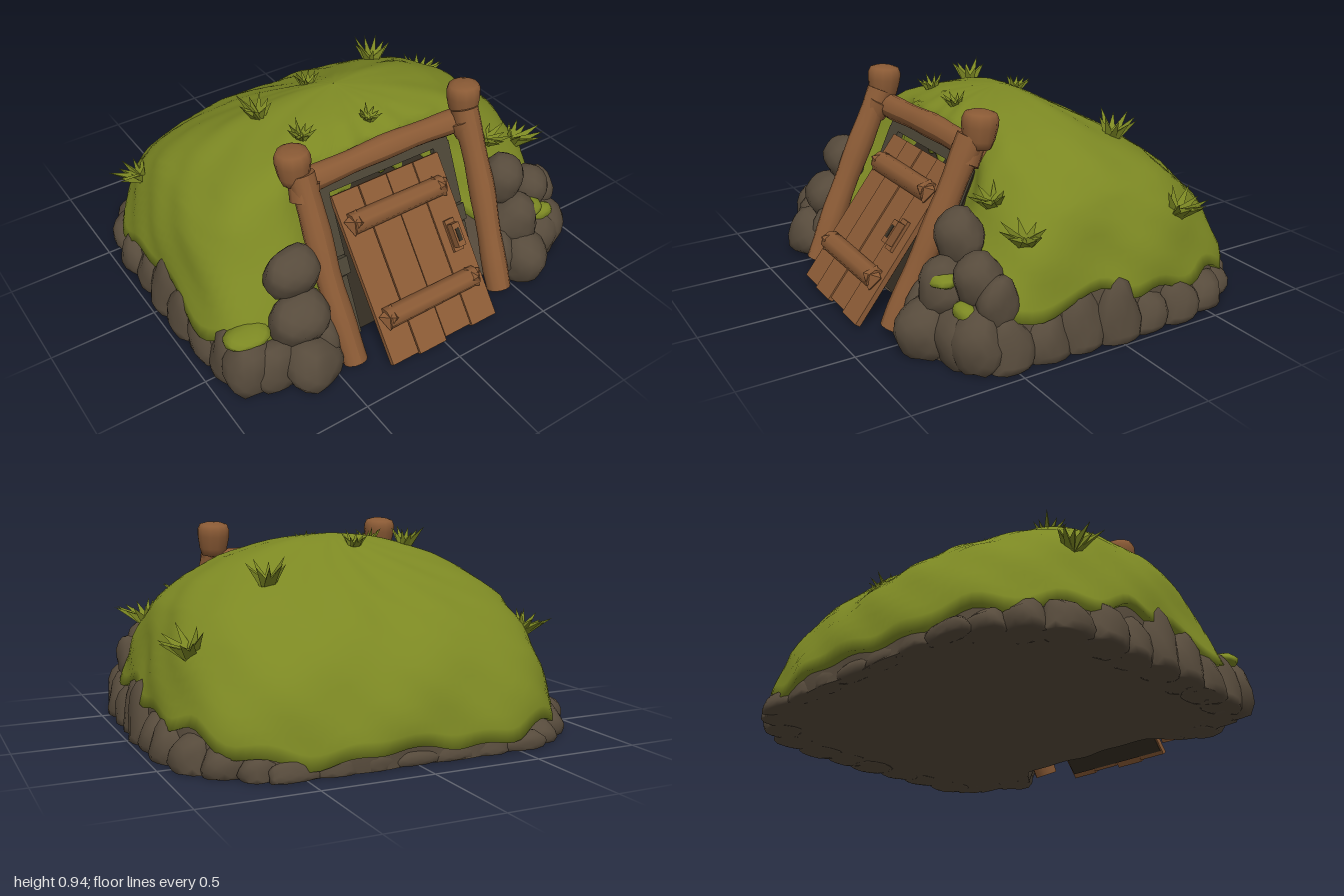
import * as THREE from 'three';
import { mergeVertices, mergeGeometries } from 'three/addons/utils/BufferGeometryUtils.js';

const material = (name, color, side = THREE.FrontSide) => {
  const m = new THREE.MeshStandardMaterial({ color, side });
  m.name = name;
  return m;
};

// Seeded random numbers
let seed = 7;
const rnd = (a = 0, b = 1) => {
  seed = (seed * 16807) % 2147483647;
  return a + (b - a) * seed / 2147483647;
};
const smooth = THREE.MathUtils.smoothstep;

// Mound half-widths by height: [y, side, back, front]
const LEVELS = [
  [0, .935, .88, .62], [.1, .935, .88, .575], [.2, .92, .86, .53], [.3, .9, .82, .485],
  [.4, .875, .765, .44], [.5, .84, .68, .395], [.6, .785, .56, .36], [.7, .67, .4, .335],
  [.8, .48, .215, .31], [.86, .29, .11, .22], [.885, .17, .06, .12], [.9, .002, .002, .002],
];
function levelAt(y) {
  let i = 0;
  while (i < LEVELS.length - 2 && y > LEVELS[i + 1][0]) i++;
  const a = LEVELS[i], b = LEVELS[i + 1];
  const t = THREE.MathUtils.clamp((y - a[0]) / (b[0] - a[0]), 0, 1);
  return [1, 2, 3].map(k => a[k] + (b[k] - a[k]) * t);
}

// Point on the mound at an angle and height; front corners bulge beside the doorway
function moundPoint(a, y, grow = 0) {
  const [hx, zb, zf] = levelAt(y), c = Math.cos(a), s = Math.sin(a);
  const n = s > 0 ? 5 - y * 2.4 : 3.5 - y * 1.3;
  let r = (Math.abs(c / hx) ** n + Math.abs(s / (s > 0 ? zf : zb)) ** n) ** (-1 / n);
  r += (grow + .008 * Math.sin(a * 9 + y * 11) + .006 * Math.sin(a * 17 - y * 23)) * Math.min(1, r * 2.5);
  const x = c * r;
  const bulge = s > 0 ? .15 * (1 - y * .85) * smooth(Math.abs(x), .36, .54) * smooth(s, 0, .36) : 0;
  return [x, y, s * r + bulge];
}

// Closed rings joined into a smooth skin
function loft(rows, cols, point) {
  const pos = [], idx = [];
  for (let j = 0; j < rows; j++)
    for (let i = 0; i < cols; i++) pos.push(...point(i / cols * Math.PI * 2, j / (rows - 1), j));
  for (let j = 0; j < rows - 1; j++)
    for (let i = 0; i < cols; i++) {
      const k = (i + 1) % cols, a = j * cols + i, b = j * cols + k;
      idx.push(a, a + cols, b, b, a + cols, b + cols);
    }
  const g = new THREE.BufferGeometry();
  g.setAttribute('position', new THREE.Float32BufferAttribute(pos, 3));
  g.setIndex(idx);
  g.computeVertexNormals();
  return g;
}

// Ragged lower edge of the turf: low at the back, open around the doorway
function turfEdge(a) {
  const c = Math.cos(a), s = Math.sin(a);
  const wave = .035 * Math.sin(a * 8 + 1) + .025 * Math.sin(a * 19);
  if (s < 0) return .07 + .12 * smooth(Math.abs(c), .7, .95) + wave * (.3 + .7 * Math.abs(c));
  const door = 1 - smooth(Math.abs(c) / Math.max(s, .01), .6, .95);
  return .19 + .03 * s + wave + door * .4;
}

// Lumpy boulder, flattened where it meets the ground
function boulder(x, y, z, rx, ry, rz) {
  let g = new THREE.IcosahedronGeometry(1, 2);
  g.deleteAttribute('uv');
  g.deleteAttribute('normal');
  g = mergeVertices(g, 1e-4);
  const p = g.attributes.position, v = new THREE.Vector3(), ph = rnd(0, 6);
  for (let i = 0; i < p.count; i++) {
    v.fromBufferAttribute(p, i);
    const k = 1 + .07 * Math.sin(v.x * 4 + ph) + .07 * Math.sin(v.y * 5 + ph * 2 + v.z * 3);
    p.setXYZ(i, x + v.x * rx * k, Math.max(0, y + v.y * ry * k), z + v.z * rz * k);
  }
  g.computeVertexNormals();
  return g;
}

// Fan of pointed blades rooted where a vertical line meets the turf
function grassTuft(turf, x, z, size) {
  const ray = new THREE.Raycaster(new THREE.Vector3(x, 2, z), new THREE.Vector3(0, -1, 0));
  const { point, face } = ray.intersectObject(turf)[0];
  const up = new THREE.Vector3(0, 1, 0), blades = [];
  for (let i = 0; i < 9; i++) {
    const a = i / 9 * Math.PI * 2, h = size * rnd(.8, 1.3);
    const dir = face.normal.clone().add(new THREE.Vector3(Math.cos(a), .3, Math.sin(a))).normalize();
    const b = new THREE.ConeGeometry(size * .22, h, 3).translate(0, h * .38, 0);
    b.applyQuaternion(new THREE.Quaternion().setFromUnitVectors(up, dir));
    blades.push(b.translate(point.x + Math.cos(a) * .02, point.y, point.z + Math.sin(a) * .02));
  }
  const g = mergeGeometries(blades).toNonIndexed();
  g.computeVertexNormals();
  return g;
}

export function createModel() {
  const root = new THREE.Group();
  const grass = material('grass green', 0x7c8823, THREE.DoubleSide);
  const stone = material('stone brown', 0x574b3c);
  const jambStone = material('mossy stone', 0x4a4435);
  const dark = material('dark gap', 0x342d22);
  const wood = material('wood', 0x8a5a35);
  const add = (parent, name, geo, mat, x = 0, y = 0, z = 0) => {
    const m = new THREE.Mesh(geo, mat);
    m.name = name;
    m.position.set(x, y, z);
    parent.add(m);
    return m;
  };
  const group = (name, y, z, tilt) => {
    const g = new THREE.Group();
    g.name = name;
    g.position.set(0, y, z);
    g.rotation.x = tilt;
    root.add(g);
    return g;
  };

  // Mound: stone core, flat underside and turf with a tucked lower lip
  add(root, 'stoneCore', loft(10, 112, (a, t) => moundPoint(a, t * .62, -.012)), stone);
  add(root, 'underside', loft(2, 112, (a, t) => moundPoint(a, 0, -.012).map(v => v * t)), stone);
  const turf = add(root, 'turf', loft(26, 160, (a, t, j) => {
    const e = turfEdge(a), u = Math.max(0, j - 1) / 24;
    return moundPoint(a, e + (.9 - e) * (1 - (1 - u) ** 1.7), j === 0 ? -.03 : .02);
  }), grass);

  // Boulders: rows along the sides and back, then clusters beside the doorway
  const rocks = [];
  for (const s of [-1, 1]) {
    for (let i = 0; i < 7; i++) {
      const top = [.13, .16, .15, .25, .21, .17, .2][i];
      rocks.push(boulder(s * [.86, .89, .89, .9, .89, .885, .87][i], .03, -.52 + i * .17, .09, top, .12));
    }
    rocks.push(boulder(s * .765, .03, -.66, .09, .11, .09), boulder(s * .66, .02, -.76, .09, .08, .07));
  }
  for (let i = 0; i < 7; i++) rocks.push(boulder(-.54 + i * .18, .02, -.835, .11, .06, .045));
  const cluster = [
    [.83, .1, .61, .12, .15, .11], [.73, .09, .65, .13, .14, .1], [.6, .09, .72, .13, .14, .13],
    [.6, .27, .63, .13, .13, .12], [.58, .46, .55, .12, .12, .1], [.5, .12, .66, .08, .16, .1],
  ];
  for (const s of [-1, 1])
    for (const [x, y, z, a, b, c] of cluster) rocks.push(boulder(s * x, y, z, a, b, c));
  rocks.push(boulder(.75, .34, .56, .11, .11, .1), boulder(.84, .27, .53, .07, .12, .09));
  add(root, 'boulders', mergeGeometries(rocks), stone);

  // Turf patches lying on the boulders
  for (const [x, y, z, r] of [[.64, .33, .67, .08], [.78, .23, .64, .06], [-.82, .24, .57, .1]])
    add(root, 'turfPatch', boulder(x, y, z, r, .04, r * .8), grass);

  // Grass tufts
  const tufts = [[-.37, -.05, .11], [-.06, -.13, .07], [.45, -.32, .12], [.83, -.4, .13], [-.82, -.42, .12],
    [.6, .41, .1], [.81, .38, .12], [.02, .25, .06], [-.3, .2, .07]];
  add(root, 'grassTufts', mergeGeometries(tufts.map(t => grassTuft(turf, ...t))), grass);

  // Sloping stone doorway behind the door
  const frame = group('doorway', 0, .65, -.431);
  add(frame, 'darkOpening', new THREE.BoxGeometry(.76, .72, .05), dark, 0, .395, -.02);
  for (const s of [-1, 1]) {
    add(frame, 'lowerJamb', new THREE.BoxGeometry(.07, .28, .05), jambStone, s * .335, .175, .015);
    add(frame, 'middleJamb', new THREE.BoxGeometry(.1, .08, .06), jambStone, s * .33, .36, .015);
    add(frame, 'upperJamb', new THREE.BoxGeometry(.09, .3, .05), jambStone, s * .33, .56, .015);
  }
  add(frame, 'stoneLintel', new THREE.BoxGeometry(.74, .09, .05), jambStone, 0, .745, .015);

  // Timber posts with thick rounded heads, and the crossbeam
  const log = (r0, r1, len, bend) => {
    const g = new THREE.CylinderGeometry(r1, r0, len, 12, 10);
    const p = g.attributes.position;
    for (let i = 0; i < p.count; i++) {
      const k = 1 + .05 * Math.sin(p.getY(i) * 17 + bend);
      p.setXYZ(i, p.getX(i) * k + .006 * Math.sin(p.getY(i) * 7 + bend), p.getY(i), p.getZ(i) * k);
    }
    g.computeVertexNormals();
    return g;
  };
  const head = [[0, -.08], [.055, -.075], [.068, -.04], [.078, .02], [.078, .05], [.068, .074], [.04, .083], [0, .085]];
  for (const s of [-1, 1]) {
    const post = add(root, 'post', log(.057, .06, .88, s), wood, s * .43, .43, .597);
    post.rotation.set(-.443, 0, s * -.03);
    const cap = add(root, 'postHead', new THREE.LatheGeometry(head.map(p => new THREE.Vector2(...p)), 12),
      wood, s * .455, .855, .378);
    cap.rotation.x = -.1;
    const collar = add(root, 'postCollar', new THREE.CylinderGeometry(.07, .064, .08, 9), wood, s * .435, .745, .432);
    collar.rotation.set(-.443, 0, s * .25);
  }
  add(root, 'crossbeam', log(.056, .056, .84, 2), wood, 0, .755, .375).rotation.z = Math.PI / 2;

  // Leaning plank door with battens, pegs and handle
  const door = group('door', 0, .88, -.665);
  add(door, 'doorBacking', new THREE.BoxGeometry(.56, .74, .012), dark, 0, .4, .006);
  for (let i = 0; i < 4; i++) {
    const w = [.138, .146, .142, .14][i], x = [-.219, -.073, .076, .2205][i], low = [.01, .0, .015, .005][i];
    add(door, 'plank', new THREE.BoxGeometry(w, .795 - low, .026), wood, x, (.795 + low) / 2, .017 + (i % 2) * .004);
  }
  for (const y of [.21, .65]) {
    add(door, 'batten', new THREE.CylinderGeometry(.05, .047, .5, 8), wood, 0, y, .036).rotation.z = Math.PI / 2;
    for (const s of [-1, 1]) {
      const peg = add(door, 'battenEnd', new THREE.OctahedronGeometry(.058), wood, s * .23, y, .045);
      peg.rotation.z = .4 * s;
    }
  }
  add(door, 'handlePlate', new THREE.BoxGeometry(.05, .15, .02), wood, .215, .42, .04);
  add(door, 'handleGrip', new THREE.BoxGeometry(.04, .11, .04), wood, .215, .42, .068);
  add(door, 'handleRecess', new THREE.BoxGeometry(.02, .06, .004), dark, .215, .42, .089);

  return root;
}
